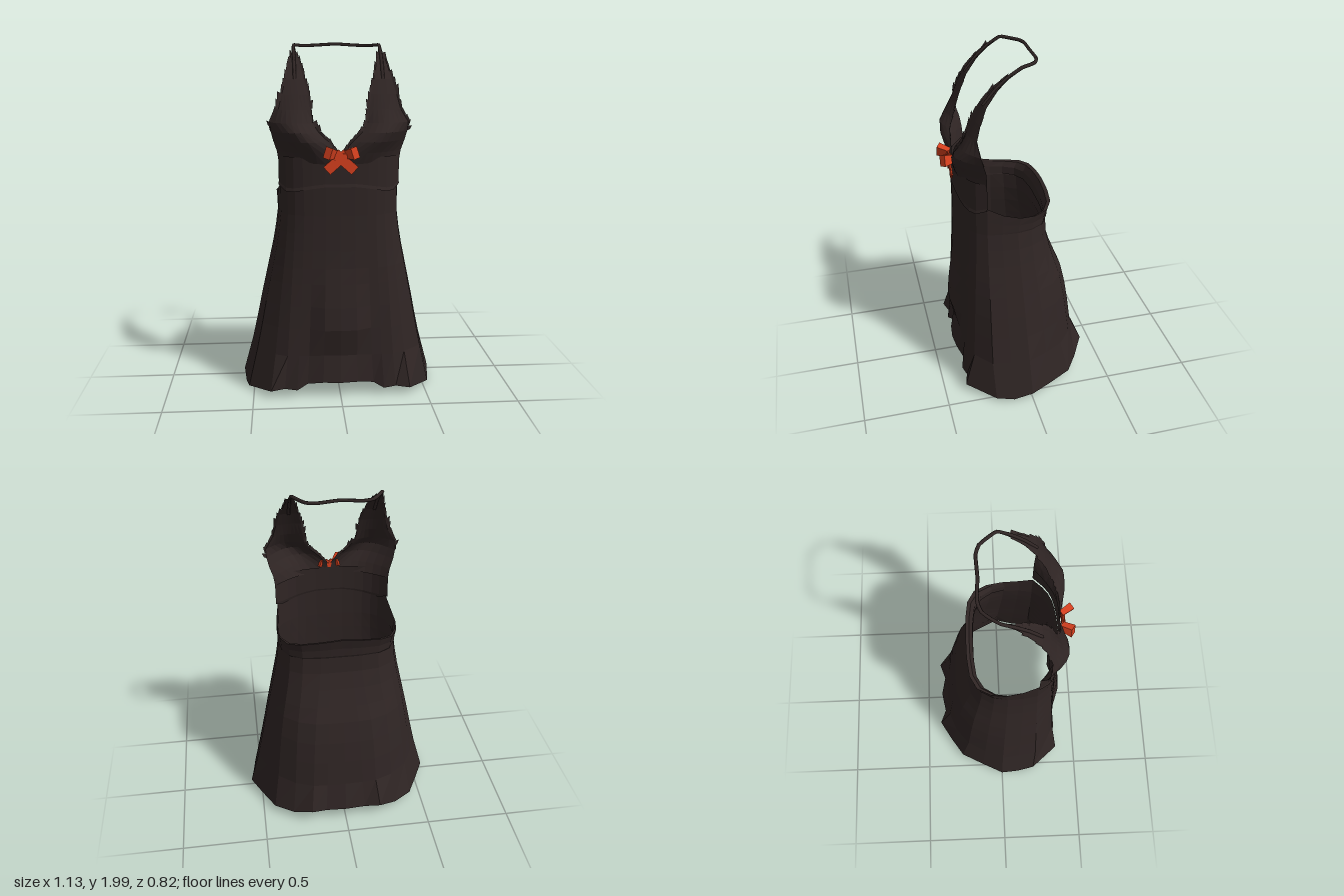
import * as THREE from 'three';

const fabric = new THREE.MeshStandardMaterial({ color: 0x2f2524, side: THREE.DoubleSide });
const ribbon = new THREE.MeshStandardMaterial({ color: 0xd8411f, side: THREE.DoubleSide });

let seed = 7;
const rand = () => (seed = (seed * 16807) % 2147483647) / 2147483647;
const { lerp, clamp } = THREE.MathUtils;

function meshFrom(name, pos, mat) {
  const g = new THREE.BufferGeometry();
  g.setAttribute('position', new THREE.Float32BufferAttribute(pos, 3));
  g.computeVertexNormals(); // separate triangles give faceted cloth
  const m = new THREE.Mesh(g, mat);
  m.name = name;
  return m;
}

// Skin a list of rows of [x, y, z] points, listed from bottom to top
function skin(name, rows, mat) {
  const pos = [];
  for (let r = 0; r + 1 < rows.length; r++) {
    for (let c = 0; c + 1 < rows[r].length; c++) {
      const a = rows[r][c], b = rows[r][c + 1], d = rows[r + 1][c], e = rows[r + 1][c + 1];
      pos.push(...a, ...b, ...e, ...a, ...e, ...d);
    }
  }
  return meshFrom(name, pos, mat);
}

const flip = ([x, y, z]) => [-x, y, z];
// Half row (front centre to back centre) to a closed ring
const ring = (half) => [...half, ...half.slice(0, -1).reverse().map(flip)];
// Half row (front centre to side) to an open strip across the front
const strip = (half) => [...half.slice(1).reverse().map(flip), ...half];

// Columns from front centre round the left side to back centre:
// waist x, waist z, hem x, hem y, hem z, top edge y
const columns = [
  [0, 0.335, 0, 0.095, 0.385, 1.23], [0.08, 0.333, 0.10, 0.095, 0.375, 1.23],
  [0.15, 0.325, 0.19, 0.08, 0.35, 1.22], [0.20, 0.315, 0.25, 0.05, 0.37, 1.21],
  [0.25, 0.295, 0.32, 0.055, 0.355, 1.2], [0.29, 0.265, 0.40, 0.05, 0.375, 1.2],
  [0.328, 0.21, 0.53, 0.02, 0.215, 1.23], [0.34, 0.13, 0.55, 0.005, 0.11, 1.185],
  [0.345, 0.04, 0.565, 0.04, 0, 1.16], [0.33, -0.04, 0.50, 0.04, -0.13, 1.155],
  [0.29, -0.11, 0.43, 0.045, -0.265, 1.16], [0.22, -0.15, 0.32, 0.05, -0.34, 1.17],
  [0.12, -0.163, 0.21, 0.10, -0.41, 1.18], [0.06, -0.165, 0.12, 0.075, -0.378, 1.185],
  [0, -0.165, 0, 0.09, -0.40, 1.19],
];

function buildSkirt() {
  // height, flare at front and sides, flare at back, bulge of the front centre
  const levels = [[0, 1, 1, 0], [0.25, 0.74, 0.8, -0.01], [0.41, 0.58, 0.71, 0.03],
    [0.54, 0.46, 0.62, 0.022], [0.67, 0.33, 0.49, 0.009], [0.76, 0.24, 0.33, 0.002],
    [0.86, 0.14, 0.16, 0], [0.96, 0.06, 0.03, 0], [1.06, 0, 0, 0]];
  const rows = levels.map(([y, side, back, bulge]) => ring(columns.map((c, i) => {
    const [wx, wz, hx, hy, hz] = c;
    const f = lerp(side, back, clamp((i - 8) / 4, 0, 1));
    // folds are sharp at the hem and even out above it
    const before = columns[Math.abs(i - 1)][4], after = columns[Math.min(i + 1, 14)][4];
    const soft = y < 0.2 ? hz : (before + 2 * hz + after) / 4;
    return [lerp(wx, hx, f), y || hy, lerp(wz, soft, f) + (i < 2 ? bulge : 0)];
  })));
  return skin('skirt', rows, fabric);
}

function buildWaistband() {
  // lift: height within the band, flare: outward lean, drop: fold below the edge
  const at = (lift, flare, drop) => ring(columns.map(([x, z, , , , top], i) => {
    const lean = flare * clamp((i - 6) / 4, 0, 1);
    return [x * (1 + lean * 0.3), lerp(1.06, top, lift) - drop, z - lean * 0.2];
  }));
  // outside, top edge, then a short inner facing
  return skin('waistband', [at(0, 0, 0), at(0.1, 0.03, 0), at(0.5, 0.05, 0), at(1, 0.13, 0),
    at(1, 0.03, 0.006), at(0.6, -0.07, 0), at(0.1, -0.07, 0)], fabric);
}

function buildBodice() {
  const front = columns.slice(0, 7);
  const rows = [0, 0.1, 0.5, 1].map((h) => strip(front.map(([x, z, , , , top]) => [
    x * (h ? 1.03 : 1.035), lerp(top - 0.008, 1.385, h), z + (h ? 0 : 0.005),
  ])));
  return skin('bodice', rows, fabric);
}

// Cup rows: height, inner x, outer x, inner z, outer z, fullness
const cupRows = [
  [1.35, 0.0, 0.337, 0.335, 0.21, 0.047], [1.41, 0.015, 0.346, 0.335, 0.212, 0.068],
  [1.47, 0.065, 0.366, 0.33, 0.22, 0.085], [1.52, 0.118, 0.378, 0.32, 0.235, 0.08],
  [1.57, 0.15, 0.38, 0.30, 0.25, 0.05], [1.64, 0.162, 0.335, 0.275, 0.26, 0.018],
  [1.72, 0.172, 0.315, 0.245, 0.235, 0.008], [1.80, 0.192, 0.293, 0.205, 0.2, 0.004],
  [1.88, 0.212, 0.272, 0.14, 0.135, 0], [1.94, 0.23, 0.258, 0.072, 0.07, 0],
  [1.985, 0.238, 0.25, 0.0, 0.0, 0],
];

function buildCup(side) {
  const cup = new THREE.Group();
  cup.name = side > 0 ? 'leftCup' : 'rightCup';
  const steps = 8;
  const rows = cupRows.map(([y, xi, xo, zi, zo, full]) => {
    const row = [];
    for (let i = 0; i <= steps; i++) {
      const u = i / steps;
      row.push([side * lerp(xi, xo, u), y, lerp(zi, zo, u) + full * Math.sin(Math.PI * u)]);
    }
    return row;
  });
  cup.add(skin('cupPanel', rows, fabric));

  // ragged lace scraps along both edges, two of uneven size per row
  const pos = [];
  for (const outer of [0, 1]) {
    for (let r = outer ? 3 : 1; r < 9; r++) {
      const a = cupRows[r], b = cupRows[r + 1];
      const point = (t) => [side * lerp(a[1 + outer], b[1 + outer], t), lerp(a[0], b[0], t),
        lerp(a[3 + outer], b[3 + outer], t)];
      for (let k = 0; k < 2; k++) {
        const p = point(k / 2), q = point(k / 2 + 0.55);
        const out = side * (outer ? 1 : -1) * (0.008 + 0.018 * rand()) * (r > 6 ? 0.6 : 1);
        const low = [p[0] + out * 0.6, p[1] + 0.008, p[2]];
        const tip = [q[0] + out, q[1] + 0.018 * rand(), q[2] + 0.012 * (rand() - 0.5)];
        pos.push(...p, ...low, ...tip, ...p, ...tip, ...q);
      }
    }
  }
  cup.add(meshFrom('laceEdge', pos, fabric));
  return cup;
}

function buildStrap() {
  const half = [[0.243, 1.8, 0.204], [0.244, 1.88, 0.139], [0.245, 1.94, 0.071],
    [0.243, 1.984, 0.0], [0.21, 1.982, -0.05], [0.175, 1.981, -0.09], [0.12, 1.983, -0.108]];
  const path = [...half, [0, 1.99, -0.102], ...half.slice().reverse().map(flip)];
  const points = path.map((p) => new THREE.Vector3(...p));
  const curve = new THREE.CatmullRomCurve3(points, false, 'catmullrom', 0.2);
  const strap = new THREE.Mesh(new THREE.TubeGeometry(curve, 70, 0.0095, 6), fabric);
  strap.name = 'neckStrap';
  return strap;
}

function buildBow() {
  const bow = new THREE.Group();
  bow.name = 'bow';
  for (const side of [1, -1]) {
    const half = new THREE.Group();
    half.name = side > 0 ? 'leftBowHalf' : 'rightBowHalf';
    half.scale.x = side;

    // loop: a box pinched towards the knot, reaching forwards
    const g = new THREE.BoxGeometry(0.07, 0.064, 0.042);
    const p = g.attributes.position;
    for (let i = 0; i < p.count; i++) {
      if (p.getX(i) < 0) p.setXYZ(i, p.getX(i), p.getY(i) * 0.7, p.getZ(i) * 0.8);
    }
    const loop = new THREE.Mesh(g, ribbon);
    loop.name = 'bowLoop';
    loop.rotation.set(0, -1.0, 0.3, 'ZYX');
    loop.position.set(0.056, 1.413, 0.372);

    // tail: crosses under the knot to the lower side
    const tail = new THREE.Mesh(new THREE.BoxGeometry(0.145, 0.056, 0.008), ribbon);
    tail.name = 'bowTail';
    tail.rotation.z = -0.72;
    tail.position.set(0.022, 1.363, 0.352 + side * 0.002);
    half.add(loop, tail);
    bow.add(half);
  }
  const knot = new THREE.Mesh(new THREE.BoxGeometry(0.07, 0.035, 0.02), ribbon);
  knot.name = 'bowKnot';
  knot.position.set(0, 1.392, 0.353);
  bow.add(knot);
  return bow;
}

export function createModel() {
  const dress = new THREE.Group();
  dress.name = 'halterDress';
  dress.add(buildSkirt(), buildWaistband(), buildBodice(), buildCup(1), buildCup(-1),
    buildStrap(), buildBow());
  return dress;
}
